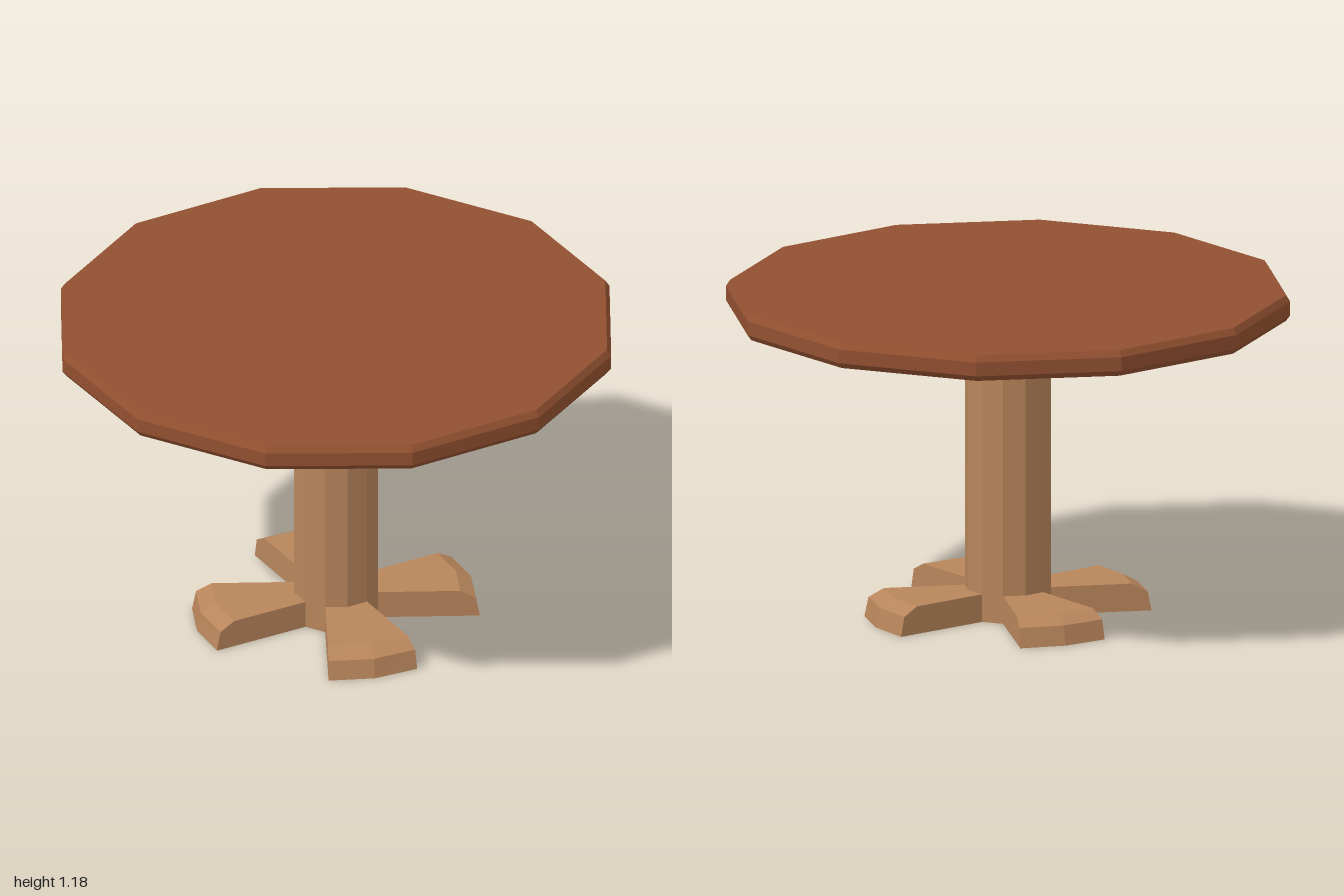
import * as THREE from 'three';

const topWood = new THREE.MeshStandardMaterial({ color: 0x925030, flatShading: true });
topWood.name = 'dark wood';
const baseWood = new THREE.MeshStandardMaterial({ color: 0xb8855b, flatShading: true });
baseWood.name = 'light wood';

const SIDES = 12;
const COLUMN_R = 0.153;

function part(name, geometry, material) {
  const mesh = new THREE.Mesh(geometry, material);
  mesh.name = name;
  return mesh;
}

// Flared foot pointing along +z, growing out of two neighbouring column faces
function footGeometry() {
  // [share of the foot's length, height], going out underneath and back over the top
  const profile = [[0, 0], [1, 0], [0.96, 0.07], [0.805, 0.1], [0, 0.1]];
  const point = (s, i) => {
    const [t, y] = profile[i];
    const inner = s ? COLUMN_R * Math.cos(Math.PI / 6) : COLUMN_R;
    const outer = s ? 0.481 : 0.508;
    return [s * THREE.MathUtils.lerp(COLUMN_R / 2, 0.162, t), y, THREE.MathUtils.lerp(inner, outer, t)];
  };
  const positions = [];
  const tri = (a, b, c) => positions.push(...a, ...b, ...c);

  // Underside, rounded end and top
  for (const s of [-1, 0]) {
    for (let i = 0; i < profile.length - 1; i++) {
      const a = point(s, i), b = point(s + 1, i), c = point(s + 1, i + 1), d = point(s, i + 1);
      tri(a, b, c);
      tri(a, c, d);
    }
  }
  // Flat side walls
  for (let i = 1; i < profile.length - 1; i++) {
    tri(point(-1, 0), point(-1, i), point(-1, i + 1));
    tri(point(1, 0), point(1, i + 1), point(1, i));
  }
  const geometry = new THREE.BufferGeometry();
  geometry.setAttribute('position', new THREE.Float32BufferAttribute(positions, 3));
  geometry.computeVertexNormals();
  return geometry;
}

export function createModel() {
  const table = new THREE.Group();
  table.name = 'pedestalTable';

  // Twelve-sided top with bevelled rims
  const rim = [[0, 1.09], [0.985, 1.09], [1, 1.11], [1, 1.16], [0.985, 1.183], [0, 1.183]]
    .map(([r, y]) => new THREE.Vector2(r, y));
  table.add(part('tableTop', new THREE.LatheGeometry(rim, SIDES), topWood));

  // Column
  const column = part('column', new THREE.CylinderGeometry(COLUMN_R, COLUMN_R, 1.09, SIDES), baseWood);
  column.position.y = 0.545;
  table.add(column);

  // Four feet
  const foot = footGeometry();
  for (let i = 0; i < 4; i++) {
    const mesh = part('foot', foot, baseWood);
    mesh.rotation.y = Math.PI / 3 + i * Math.PI / 2;
    table.add(mesh);
  }
  return table;
}
